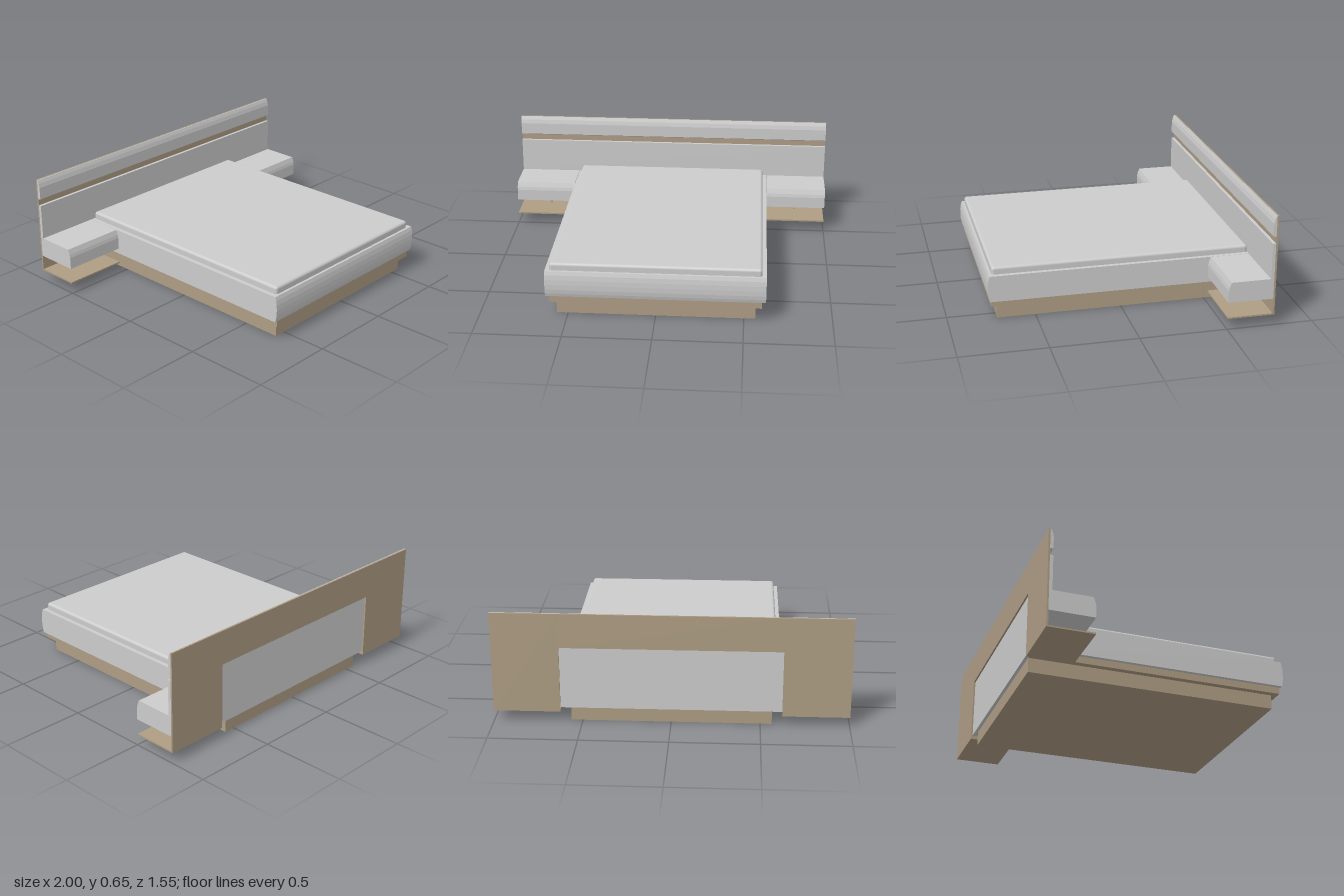
import * as THREE from 'three';
import { RoundedBoxGeometry } from 'three/addons/geometries/RoundedBoxGeometry.js';

export function createModel() {
  const bed = new THREE.Group();
  bed.name = 'bed';
  const fabric = new THREE.MeshStandardMaterial({ color: 0xcccccc });
  fabric.name = 'light grey upholstery';
  const wood = new THREE.MeshStandardMaterial({ color: 0xae9d84 });
  wood.name = 'tan wood';

  function add(name, geometry, material) {
    const mesh = new THREE.Mesh(geometry, material);
    mesh.name = name;
    bed.add(mesh);
    return mesh;
  }

  // Box given by its limits on each axis
  function box(name, material, [x0, x1], [y0, y1], [z0, z1]) {
    const g = new THREE.BoxGeometry(x1 - x0, y1 - y0, z1 - z0);
    g.translate((x0 + x1) / 2, (y0 + y1) / 2, (z0 + z1) / 2);
    return add(name, g, material);
  }

  // Side profile of [z, y] points swept across x
  function sweep(name, material, x0, x1, points) {
    const shape = new THREE.Shape(points.map(([z, y]) => new THREE.Vector2(z, y)));
    const g = new THREE.ExtrudeGeometry(shape, { depth: x1 - x0, bevelEnabled: false });
    g.rotateY(-Math.PI / 2);
    g.translate(x1, 0, 0);
    return add(name, g, material);
  }

  // Base
  box('plinth', wood, [-0.565, 0.565], [0, 0.087], [-0.745, 0.72]);
  box('underFrame', wood, [-0.6, 0.6], [0.085, 0.126], [-0.745, 0.757]);

  // Upholstered frame with a softly bulging front
  sweep('bedFrame', fabric, -0.622, 0.622, [
    [-0.746, 0.125], [0.764, 0.125], [0.77, 0.145], [0.774, 0.17], [0.775, 0.2],
    [0.774, 0.23], [0.77, 0.258], [0.763, 0.28], [-0.746, 0.28],
  ]);

  // Mattress
  add('mattress', new RoundedBoxGeometry(1.194, 0.145, 1.495, 4, 0.016), fabric)
    .position.set(0, 0.2505, 0.001);

  // Headboard cushions
  box('headboardLowerCushion', fabric, [-1, 1], [0.28, 0.49], [-0.765, -0.746]);
  box('headboardCentrePanel', fabric, [-0.622, 0.622], [0.085, 0.28], [-0.765, -0.746]);
  sweep('headboardUpperCushion', fabric, -1, 1, [
    [-0.765, 0.53], [-0.75, 0.53], [-0.746, 0.534], [-0.746, 0.605],
    [-0.752, 0.63], [-0.76, 0.65], [-0.765, 0.65],
  ]);

  // Wooden back, open behind the bed
  box('backPanelCentre', wood, [-0.622, 0.622], [0.45, 0.65], [-0.775, -0.764]);

  for (const s of [-1, 1]) {
    const side = s < 0 ? 'right' : 'left';
    const span = (a, b) => (s > 0 ? [a, b] : [-b, -a]);
    box(side + 'BackPanel', wood, span(0.622, 1), [0.062, 0.65], [-0.775, -0.764]);

    // Bedside unit with sloped front edge
    const [x0, x1] = span(0.624, 1);
    sweep(side + 'BedsideUnit', fabric, x0, x1, [
      [-0.765, 0.16], [-0.503, 0.16], [-0.503, 0.23], [-0.507, 0.25],
      [-0.518, 0.28], [-0.765, 0.28],
    ]);

    // Low shelf and its bracket
    box(side + 'Shelf', wood, span(0.624, 1), [0.062, 0.071], [-0.775, -0.503]);
    box(side + 'ShelfBracket', wood, span(0.806, 0.816), [0.07, 0.161], [-0.765, -0.677]);
  }
  return bed;
}
